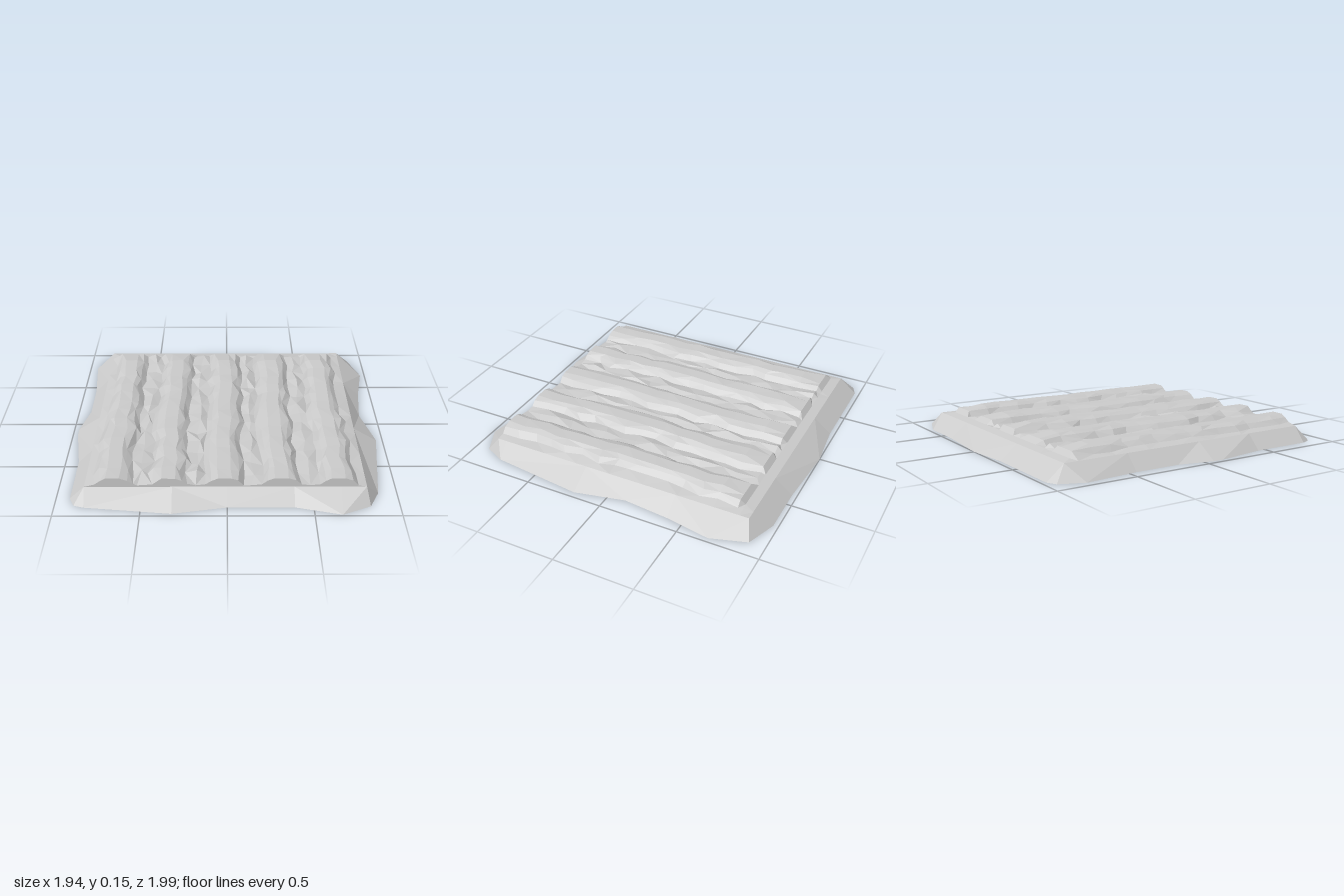
import * as THREE from 'three';

const LEFT = -0.83, RIGHT = 0.81, BACK = -0.86, FRONT = 0.84, RIM = 0.09;
const RIDGES = [-0.67, -0.345, -0.015, 0.31, 0.64];

// small seeded noise in -1..1
function makeNoise(seed) {
  let s = seed;
  return () => {
    s = (s * 16807) % 2147483647;
    return (s / 2147483647) * 2 - 1;
  };
}

// faceted surface through rows of points
function sheet(rows) {
  const pos = [], index = [], n = rows[0].length;
  rows.forEach(row => row.forEach(p => pos.push(...p)));
  for (let r = 0; r < rows.length - 1; r++) {
    for (let c = 0; c < n - 1; c++) {
      const a = r * n + c, b = a + n;
      if ((r + c) % 2) index.push(a, b, a + 1, a + 1, b, b + 1);
      else index.push(a, b, b + 1, a, b + 1, a + 1);
    }
  }
  const g = new THREE.BufferGeometry();
  g.setAttribute('position', new THREE.Float32BufferAttribute(pos, 3));
  g.setIndex(index);
  g.computeVertexNormals();
  return g;
}

// ploughed top: raised ridges with lumpy furrows between them
function ploughedRows() {
  const noise = makeNoise(4711);
  const zs = [-0.8, -0.77, -0.64];
  for (let i = 1; i <= 13; i++) zs.push(-0.64 + (i * (FRONT + 0.64)) / 13);
  const rows = zs.map((z, r) => {
    const row = [[LEFT, RIM, z]];
    const last = r === zs.length - 1;
    const cap = r === 0 ? 0.1 : r === 1 ? 0.13 : 1;
    const dz = () => (r < 3 || last ? 0 : noise() * 0.025);
    const add = (x, y) => row.push([x, Math.min(y, cap), z + dz()]);
    RIDGES.forEach((c, k) => {
      const x = c + noise() * 0.012;
      const wl = noise() * 0.016, wr = noise() * 0.016;
      add(x - 0.11 + wl, 0.103 + noise() * 0.008);
      add(x - 0.078 + wl, 0.132 + noise() * 0.003);
      add(x - 0.04, 0.147 + noise() * 0.002);
      add(x + 0.04, 0.147 + noise() * 0.002);
      add(x + 0.078 + wr, 0.132 + noise() * 0.003);
      add(x + 0.11 + wr, 0.103 + noise() * 0.008);
      if (k < RIDGES.length - 1) {
        const mid = (c + RIDGES[k + 1]) / 2;
        add(mid + noise() * 0.015, last ? 0.1 : 0.113 + noise() * 0.014);
      }
    });
    row.push([RIGHT, RIM, z]);
    return row;
  });
  // back lip and upright front face meet the rim
  rows.unshift(rows[0].map(p => [p[0], RIM, BACK]));
  rows.push(rows[rows.length - 1].map(p => [p[0], RIM, FRONT]));
  return rows;
}

// irregular ground outline, clockwise from the back as seen from above
const OUTLINE = [
  [0, -1], [0.41, -0.97], [0.71, -0.97], [0.9, -0.9], [0.97, -0.68],
  [0.92, -0.4], [0.89, -0.11], [0.96, 0.2], [0.89, 0.78], [0.83, 0.91],
  [0.66, 0.99], [0.39, 0.92], [0, 0.92], [-0.32, 0.98], [-0.83, 0.92],
  [-0.89, 0.9], [-0.92, 0.83], [-0.92, 0.45], [-0.97, 0.13], [-0.97, 0.06],
  [-0.92, -0.16], [-0.92, -0.45], [-0.95, -0.79], [-0.89, -0.94],
  [-0.83, -0.97], [-0.29, -0.97], [0, -1],
];

export function createModel() {
  const group = new THREE.Group();
  group.name = 'soilBed';
  const material = new THREE.MeshStandardMaterial({
    color: 0xcccccc, flatShading: true, side: THREE.DoubleSide,
  });
  const add = (name, geometry) => {
    const mesh = new THREE.Mesh(geometry, material);
    mesh.name = name;
    group.add(mesh);
  };

  add('ploughedSoil', sheet(ploughedRows()));

  // sloping bank from the rim down to the ground, open underneath
  const clamp = THREE.MathUtils.clamp;
  const ground = OUTLINE.map(([x, z]) => [x, 0, z]);
  const rim = OUTLINE.map(([x, z]) => [clamp(x, LEFT, RIGHT), RIM, clamp(z, BACK, FRONT)]);
  add('bank', sheet([ground, rim]));

  return group;
}
